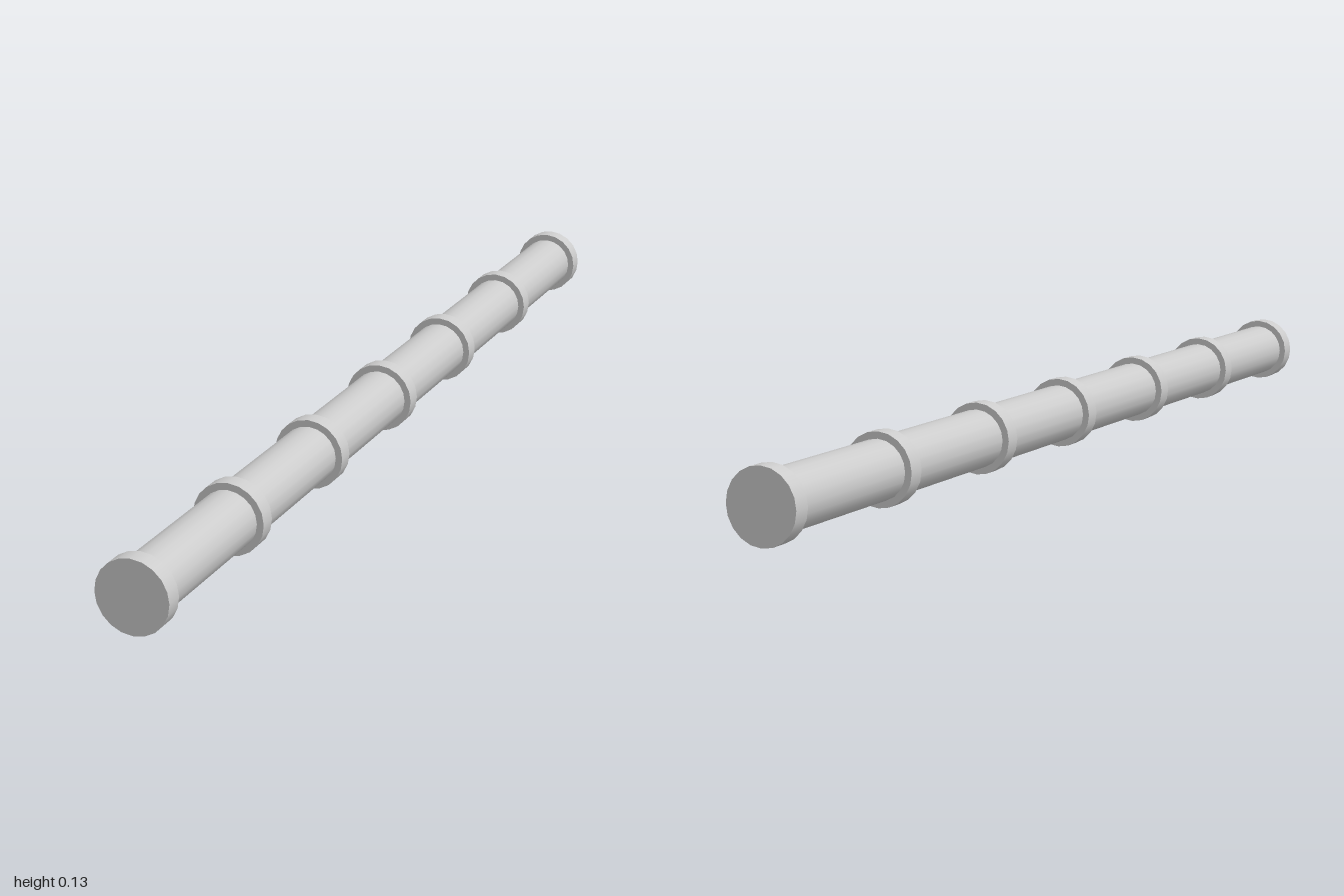
import * as THREE from 'three';

const SIDES = 20;
const AXIS_Y = 0.065; // height of the pipe's centre line

export function createModel() {
  const group = new THREE.Group();
  const material = new THREE.MeshStandardMaterial({ color: 0xcccccc });

  // Capped cylinder lying along z, from z0 to z1
  const addCylinder = (name, radius, z0, z1) => {
    const geometry = new THREE.CylinderGeometry(radius, radius, z1 - z0, SIDES);
    geometry.rotateX(Math.PI / 2);
    const mesh = new THREE.Mesh(geometry, material);
    mesh.name = name;
    mesh.position.set(0, AXIS_Y, (z0 + z1) / 2);
    group.add(mesh);
  };

  // Long pipe, flush with the back collar and ending inside the front one
  addCylinder('pipe', 0.0525, -1, 0.985);

  // Collars: one at each end and five between
  const halfWidth = 0.016;
  const centres = [-0.984, -0.646, -0.314, 0.001, 0.325, 0.649, 0.984];
  centres.forEach((z, i) =>
    addCylinder(`collar${i + 1}`, 0.065, z - halfWidth, z + halfWidth));

  return group;
}
